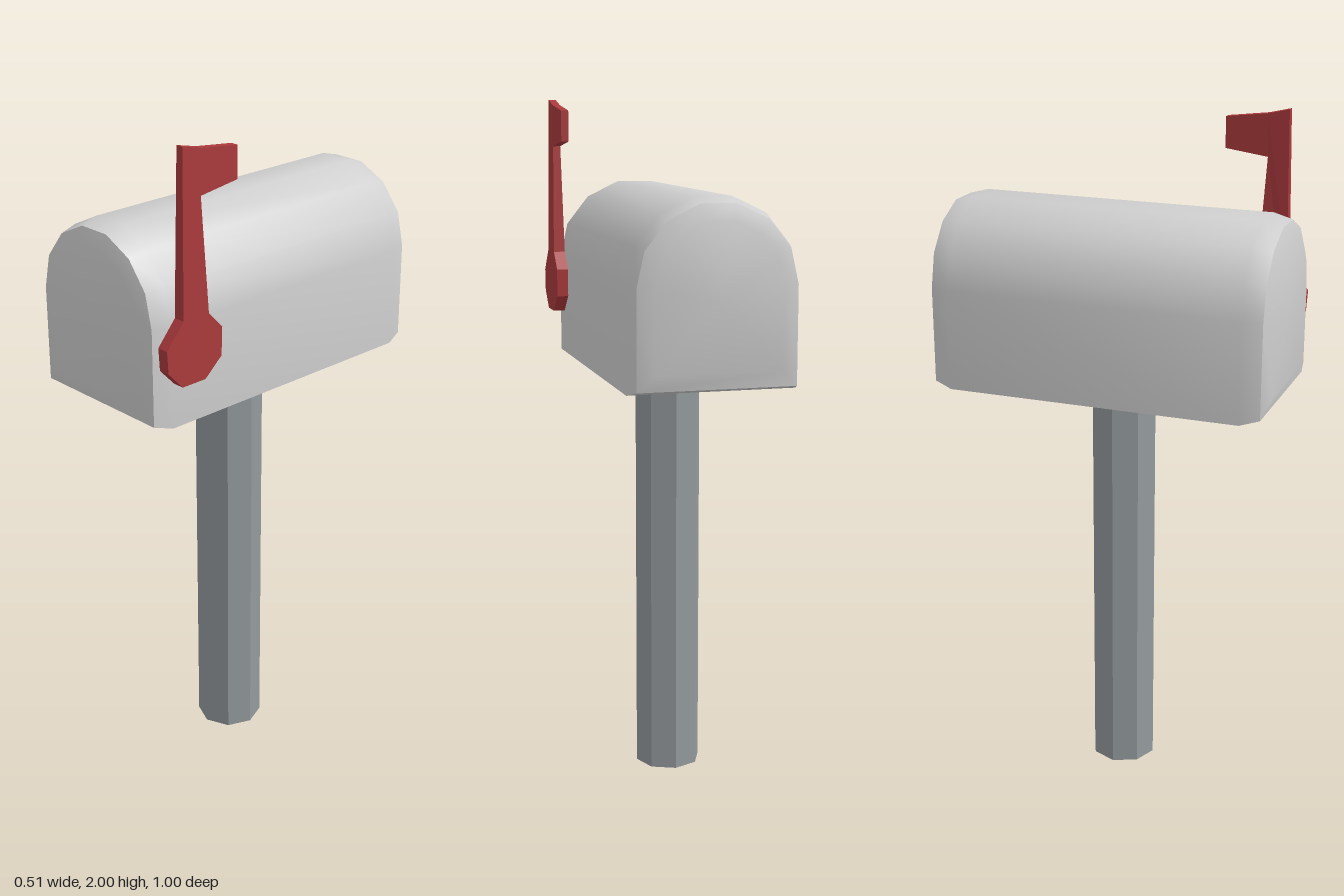
import * as THREE from 'three';
import { toCreasedNormals } from 'three/addons/utils/BufferGeometryUtils.js';

const mat = (name, color, opts = {}) => {
  const m = new THREE.MeshStandardMaterial({ color, ...opts });
  m.name = name;
  return m;
};

// Arched cross-section, inset evenly by d, counter-clockwise seen from the front
function archRing(d, z) {
  const cx = -0.021, springY = 1.52, r = 0.238 - d, bottom = 1.23 + d;
  const pts = [new THREE.Vector3(cx + r, bottom, z)];
  for (let i = 0; i <= 7; i++) {
    const a = (i / 7) * Math.PI;
    pts.push(new THREE.Vector3(cx + r * Math.cos(a), springY + r * Math.sin(a), z));
  }
  pts.push(new THREE.Vector3(cx - r, bottom, z));
  return pts;
}

// Box body: arched rings skinned along z, closed with fans at both ends
function boxGeometry() {
  const half = [[0.06, 0.5], [0.015, 0.485], [0, 0.43]];
  const rings = [
    ...half.map(([d, z]) => archRing(d, -z)),
    ...half.slice().reverse().map(([d, z]) => archRing(d, z)),
  ];
  const n = rings[0].length;
  const verts = [];
  const tri = (a, b, c) => verts.push(...a.toArray(), ...b.toArray(), ...c.toArray());
  for (let i = 0; i < rings.length - 1; i++) {
    for (let j = 0; j < n; j++) {
      const k = (j + 1) % n;
      tri(rings[i][j], rings[i][k], rings[i + 1][k]);
      tri(rings[i][j], rings[i + 1][k], rings[i + 1][j]);
    }
  }
  const back = rings[0], front = rings[rings.length - 1];
  const cBack = new THREE.Vector3(-0.021, 1.48, -0.5);
  const cFront = new THREE.Vector3(-0.021, 1.48, 0.5);
  for (let j = 0; j < n; j++) {
    const k = (j + 1) % n;
    tri(cFront, front[j], front[k]);
    tri(cBack, back[k], back[j]);
  }
  const g = new THREE.BufferGeometry();
  g.setAttribute('position', new THREE.Float32BufferAttribute(verts, 3));
  return toCreasedNormals(g, THREE.MathUtils.degToRad(35));
}

// Flag: side outline as (z, y), extruded in x and thinned towards the top
function flagGeometry() {
  const outline = [
    [0.413, 2.0], [0.35, 1.985], [0.228, 1.97], [0.228, 1.88], [0.354, 1.863],
    [0.335, 1.545], [0.288, 1.495], [0.291, 1.413], [0.349, 1.362], [0.429, 1.362],
    [0.477, 1.413], [0.481, 1.478], [0.423, 1.545],
  ].map(([z, y]) => new THREE.Vector2(z, y));
  const g = new THREE.ExtrudeGeometry(new THREE.Shape(outline), { depth: 1, bevelEnabled: false });
  g.translate(0, 0, -0.5);
  g.rotateY(-Math.PI / 2);
  const p = g.attributes.position;
  for (let i = 0; i < p.count; i++) {
    const t = THREE.MathUtils.clamp((p.getY(i) - 1.545) / 0.318, 0, 1);
    p.setX(i, 0.239 + p.getX(i) * THREE.MathUtils.lerp(0.034, 0.022, t));
  }
  g.computeVertexNormals();
  return g;
}

export function createModel() {
  const group = new THREE.Group();
  group.name = 'mailbox';
  const add = (name, geometry, material) => {
    const mesh = new THREE.Mesh(geometry, material);
    mesh.name = name;
    group.add(mesh);
    return mesh;
  };

  add('box', boxGeometry(), mat('light grey metal', 0xcfcfcf));
  add('flag', flagGeometry(), mat('red paint', 0xab3a3c, { flatShading: true }));

  // Hollow eight-sided post, open at the foot
  const post = add(
    'post',
    new THREE.CylinderGeometry(0.098, 0.098, 1.235, 8, 1, true),
    mat('post grey', 0x949a9d, { flatShading: true, side: THREE.DoubleSide })
  );
  post.position.set(-0.017, 0.6175, 0.01);

  return group;
}
